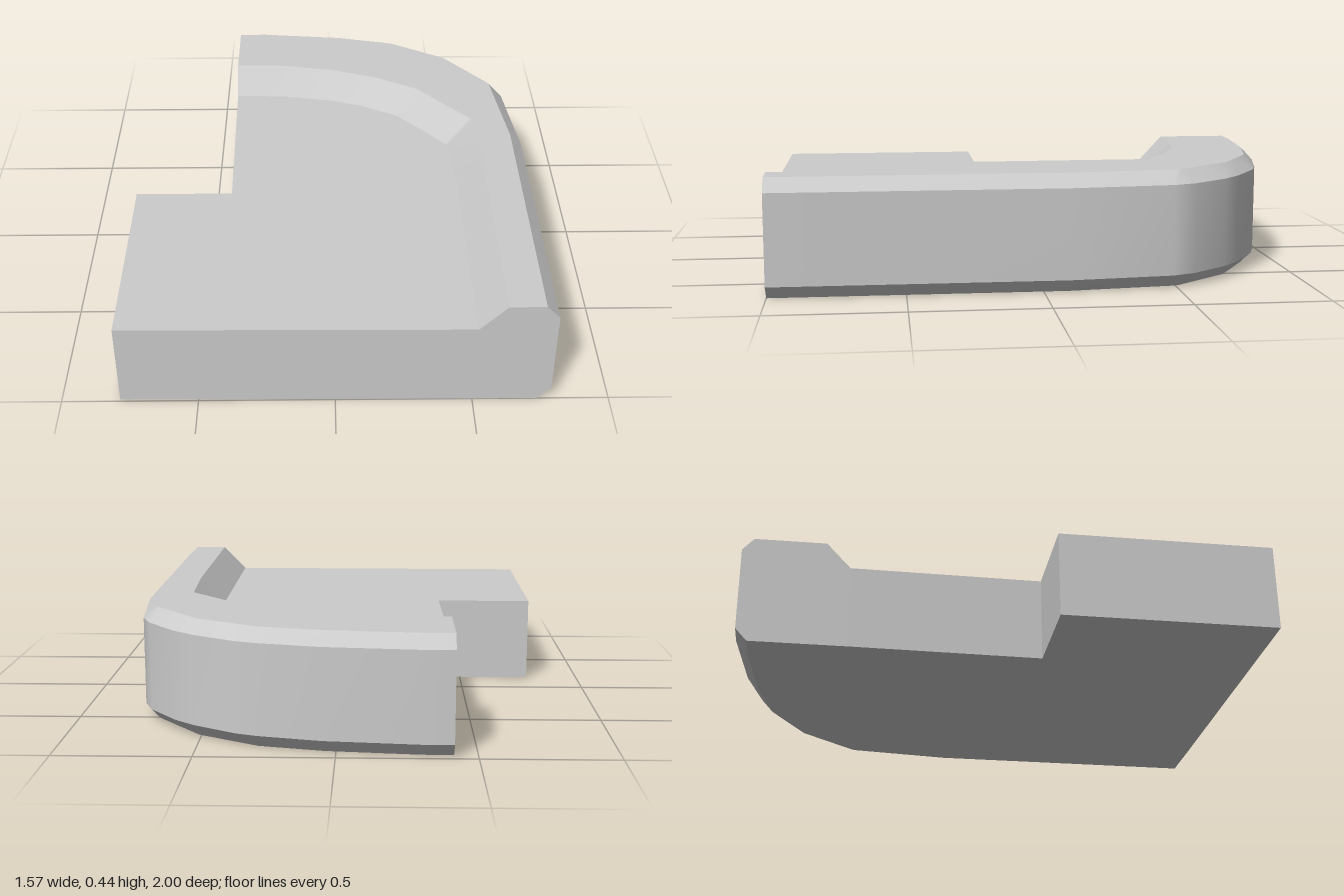
import * as THREE from 'three';

// Plan curves (x, z) running from the front of the rim round to its rear end
const outer = [[.787, 1], [.787, -.09], [.747, -.48], [.71, -.57], [.6, -.71], [.52, -.78], [.36, -.88], [.28, -.91], [.05, -.965], [-.3, -1], [-.415, -1]];
const inset = [[.738, 1], [.738, -.09], [.692, -.5], [.68, -.52], [.595, -.625], [.51, -.73], [.4, -.795], [.28, -.865], [.04, -.92], [-.3, -.955], [-.415, -.955]];
const innerTop = [[.605, 1], [.605, .1], [.59, -.21], [.58, -.225], [.48, -.338], [.38, -.455], [.36, -.47], [.2, -.56], [0, -.63], [-.2, -.667], [-.415, -.675]];
const innerFoot = [[.505, 1], [.505, .1], [.49, -.17], [.48, -.182], [.385, -.295], [.285, -.405], [.265, -.418], [.13, -.49], [0, -.535], [-.2, -.57], [-.415, -.58]];
// Remaining corners of the stepped slab
const slab = [[-.405, .17], [-.787, .17], [-.787, .99]];

const FLOOR = .335, TOP = .437, CHAMFER = .05;
const material = new THREE.MeshStandardMaterial({ color: 0xcccccc, side: THREE.DoubleSide });
const at = (curve, y) => curve.map(([x, z]) => [x, y, z]);

export function createModel() {
  const group = new THREE.Group();
  const add = (name, geometry) => {
    const mesh = new THREE.Mesh(geometry, material);
    mesh.name = name;
    group.add(mesh);
  };
  const indexed = (points, index, sharp) => {
    let g = new THREE.BufferGeometry();
    g.setAttribute('position', new THREE.Float32BufferAttribute(points.flat(), 3));
    g.setIndex(index);
    if (sharp) g = g.toNonIndexed();
    g.computeVertexNormals();
    return g;
  };
  // Band between a lower and an upper row of points
  const strip = (a, b, sharp = false) => {
    const n = a.length, index = [];
    for (let i = 0; i < n - 1; i++) index.push(i, i + 1, n + i + 1, i, n + i + 1, n + i);
    return indexed([...a, ...b], index, sharp);
  };
  // Flat convex polygon
  const fan = (points) => {
    const index = [];
    for (let i = 1; i < points.length - 1; i++) index.push(0, i, i + 1);
    return indexed(points, index, true);
  };

  // Curved rim: smooth along its length, crisp between bands
  const rows = [at(inset, 0), at(outer, CHAMFER), at(outer, TOP - CHAMFER), at(inset, TOP), at(innerTop, TOP), at(innerFoot, FLOOR)];
  const names = ['lowerChamfer', 'outerWall', 'upperChamfer', 'rimTop', 'innerSlope'];
  names.forEach((name, i) => add(name, strip(rows[i], rows[i + 1])));

  // Rim ends
  const section = (i) => [...rows.map((r) => r[i]), [innerFoot[i][0], 0, innerFoot[i][1]]];
  add('rimFrontEnd', fan(section(0)));
  add('rimRearEnd', fan(section(outer.length - 1).reverse()));

  // Side walls of the stepped slab
  const wall = [innerFoot[innerFoot.length - 1], ...slab, innerFoot[0]];
  add('slabWalls', strip(at(wall, 0), at(wall, FLOOR), true));

  // Recessed floor and underside
  const plan = (points, sign) => new THREE.ShapeGeometry(
    new THREE.Shape(points.map(([x, z]) => new THREE.Vector2(x, sign * z))));
  add('floor', plan([...innerFoot, ...slab], -1).rotateX(-Math.PI / 2).translate(0, FLOOR, 0));
  const last = innerFoot[innerFoot.length - 1];
  add('underside', plan([...inset, last, ...slab, innerFoot[0]], 1).rotateX(Math.PI / 2));
  return group;
}
